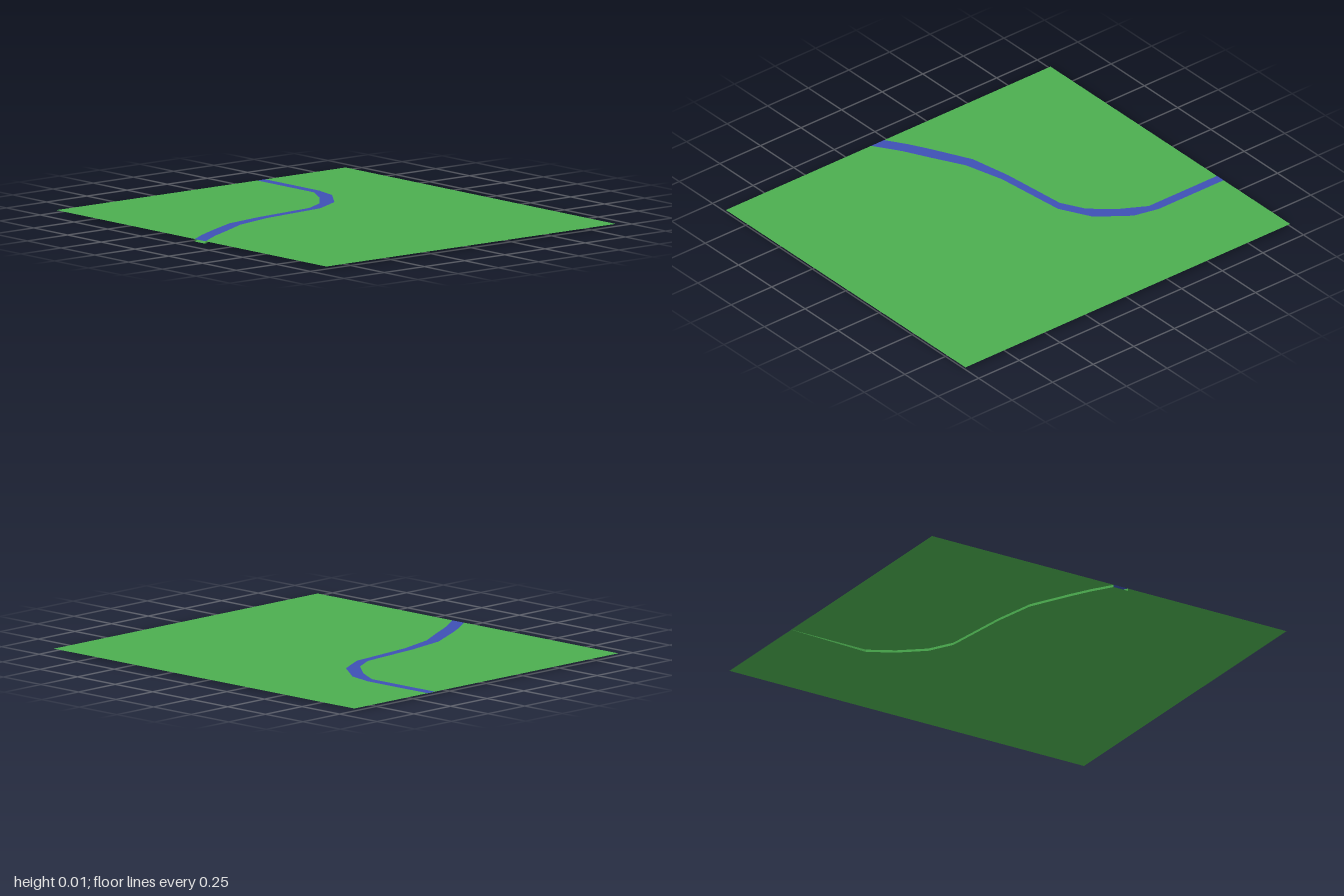
import * as THREE from 'three';

const TOP = 0.012; // level of the meadow; the channel reaches down to y = 0

// Bank lines as [x, z], from the left-hand edge of the tile to the front edge
const nearBank = [[-1, -0.35], [-0.58, -0.35], [-0.455, -0.28], [-0.335, -0.18], [-0.27, -0.06],
  [-0.235, 0.285], [-0.195, 0.5], [-0.095, 0.7], [-0.04, 0.8], [0.025, 0.9]];
const farBank = [[-1, -0.4], [-0.6, -0.4], [-0.47, -0.37], [-0.315, -0.255], [-0.23, -0.095],
  [-0.19, 0.275], [-0.135, 0.48], [-0.045, 0.645], [0.02, 0.77], [0.105, 0.9]];

// The bed ramps down along the first stretch, then stays level
const bedHeight = (i) => (i === 0 ? TOP - 0.0008 : 0);
const atTop = (bank) => bank.map(([x, z]) => [x, TOP, z]);
const atBed = (bank) => bank.map(([x, z], i) => [x, bedHeight(i), z]);

// Ribbon of quads between two lines with the same number of points
function ribbon(a, b) {
  const pos = [];
  for (let i = 0; i < a.length - 1; i++) {
    pos.push(...a[i], ...a[i + 1], ...b[i], ...b[i], ...a[i + 1], ...b[i + 1]);
  }
  const g = new THREE.BufferGeometry();
  g.setAttribute('position', new THREE.Float32BufferAttribute(pos, 3));
  g.computeVertexNormals();
  return g;
}

// Flat piece of ground with the given [x, z] outline
function flat(outline) {
  const shape = new THREE.Shape(outline.map(([x, z]) => new THREE.Vector2(x, -z)));
  return new THREE.ShapeGeometry(shape).rotateX(-Math.PI / 2).translate(0, TOP, 0);
}

export function createModel() {
  const grass = new THREE.MeshStandardMaterial({ color: 0x4caf50, side: THREE.DoubleSide });
  grass.name = 'grass green';
  const blue = new THREE.MeshStandardMaterial({ color: 0x3f51b5, side: THREE.DoubleSide });
  blue.name = 'water blue';

  const model = new THREE.Group();
  model.name = 'riverTile';
  const add = (name, geometry, material) => {
    const mesh = new THREE.Mesh(geometry, material);
    mesh.name = name;
    model.add(mesh);
  };

  // Meadow on either side of the river
  add('nearMeadow', flat([...nearBank, [-1, 0.9]]), grass);
  add('farMeadow', flat([...farBank, [1, 0.9], [1, -0.9], [-1, -0.9]]), grass);

  // Channel: two upright banks and a bed, open at the front
  add('nearBankWall', ribbon(atTop(nearBank), atBed(nearBank)), grass);
  add('farBankWall', ribbon(atBed(farBank), atTop(farBank)), grass);
  add('riverBed', ribbon(atBed(nearBank), atBed(farBank)), grass);

  // Water surface level with the meadow
  add('water', ribbon(atTop(nearBank), atTop(farBank)), blue);

  return model;
}
